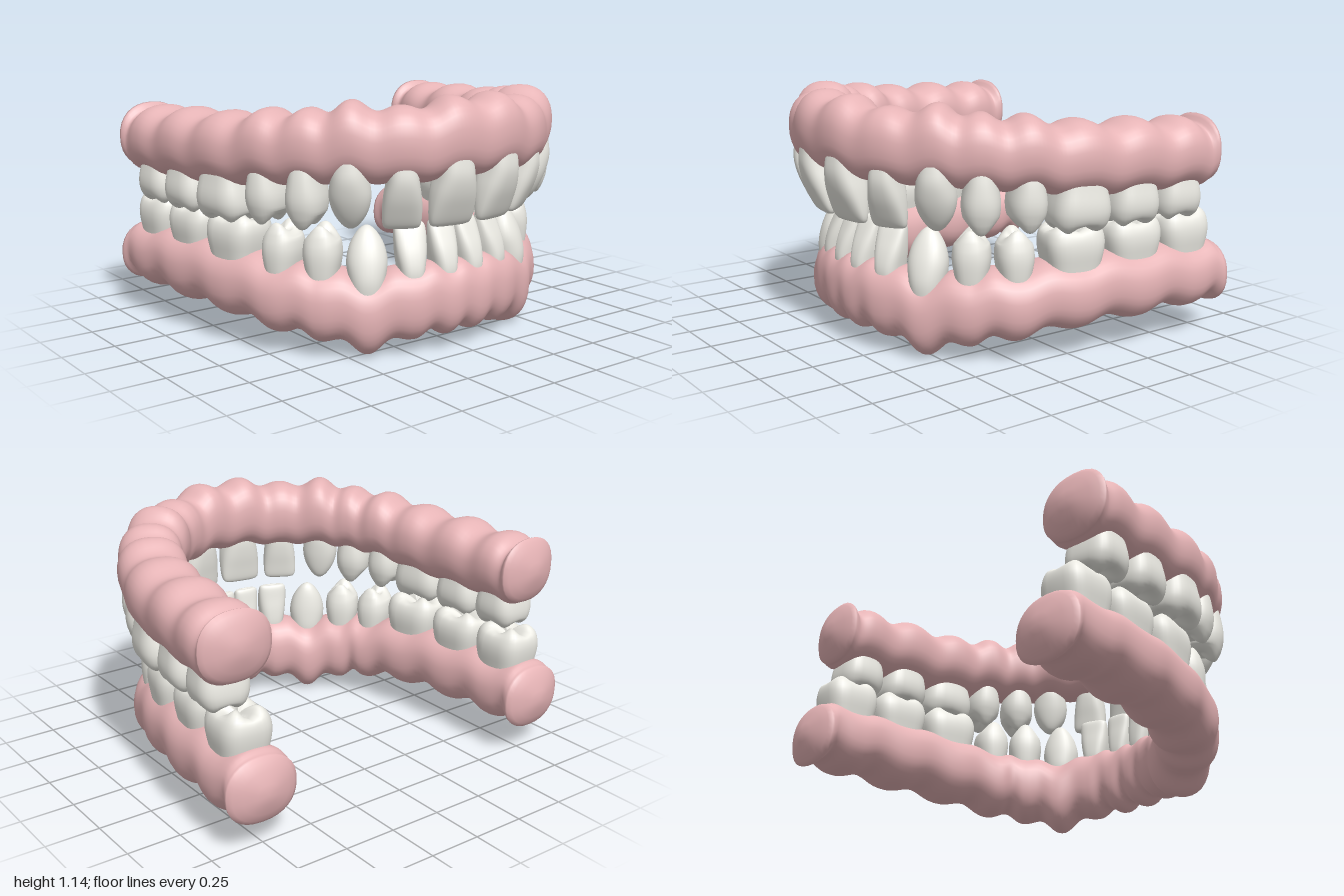
import * as THREE from 'three';
import { mergeVertices } from 'three/addons/utils/BufferGeometryUtils.js';

const gumMaterial = new THREE.MeshStandardMaterial({ color: 0xe6b4b6 });
const toothMaterial = new THREE.MeshStandardMaterial({ color: 0xecebe4 });

// Crown profiles from root to tip: [width, height, depth], as fractions
const PROFILES = {
  incisor: [[.7, 0, .9], [.8, .25, 1], [.94, .5, .88], [1, .75, .62], [.97, .93, .4], [.85, 1, .25], [0, 1, 0]],
  canine: [[.75, 0, .9], [.9, .25, 1], [1, .5, .9], [.85, .72, .7], [.45, .92, .4], [.15, .99, .15], [0, 1, 0]],
  premolar: [[.74, 0, .85], [.86, .25, .95], [1, .55, 1], [.95, .75, .93], [.76, .9, .75], [.5, .98, .55], [.3, .95, .3], [0, .88, 0]],
  molar: [[.82, 0, .85], [.88, .25, .92], [.98, .55, 1], [1, .75, .98], [.93, .92, .86], [.7, 1, .62], [.4, .96, .34], [0, .87, 0]],
};
const SQUARENESS = { incisor: 2.8, canine: 2.2, premolar: 2.4, molar: 3.2 };
const CUSPS = {
  premolar: (a) => .16 * (Math.sin(a) ** 2 - .5),
  molar: (a) => .2 * (Math.abs(Math.sin(2 * a)) - .5),
};

// Teeth from the middle to the back: type, gum centre x, z, width, depth,
// outward shift, tip y, gum edge y, gum far y, gum half width
const UPPER = [
  ['incisor', .118, .705, .21, .17, .045, .59, .81, 1.145, .14],
  ['incisor', .32, .635, .17, .16, .045, .59, .79, 1.11, .14],
  ['canine', .485, .505, .18, .19, .05, .585, .80, 1.132, .15],
  ['premolar', .605, .37, .17, .23, .03, .60, .78, 1.095, .15],
  ['premolar', .69, .2, .17, .23, .02, .60, .77, 1.085, .16],
  ['molar', .755, -.02, .27, .25, .02, .59, .735, 1.055, .17],
  ['molar', .79, -.29, .24, .25, .01, .59, .725, 1.045, .17],
  ['molar', .812, -.54, .225, .24, .005, .59, .72, 1.03, .17],
  ['rim', .82, -.68, 0, 0, 0, 0, .72, 1.03, .17],
];
const LOWER = [
  ['incisor', .07, .61, .13, .15, .01, .58, .39, .065, .125],
  ['incisor', .222, .575, .145, .15, .015, .58, .39, .06, .13],
  ['canine', .39, .485, .18, .18, .03, .58, .35, .003, .145],
  ['premolar', .535, .365, .17, .2, .01, .57, .39, .06, .15],
  ['premolar', .635, .215, .17, .21, .01, .57, .40, .085, .16],
  ['molar', .71, -.035, .28, .24, .01, .58, .43, .115, .165],
  ['molar', .755, -.335, .28, .24, 0, .58, .44, .125, .17],
  ['molar', .775, -.62, .27, .24, 0, .58, .43, .13, .17],
  ['rim', .78, -.795, 0, 0, 0, 0, .425, .13, .17],
];

// Closed skin over a list of equal rings of points
function loft(rings, flip) {
  const n = rings[0].length, index = [];
  for (let i = 0; i < rings.length - 1; i++) {
    for (let j = 0; j < n; j++) {
      const a = i * n + j, b = i * n + (j + 1) % n, c = a + n, d = b + n;
      if (flip) index.push(a, c, b, b, c, d);
      else index.push(a, b, c, b, d, c);
    }
  }
  let geometry = new THREE.BufferGeometry().setFromPoints(rings.flat());
  geometry.setIndex(index);
  geometry = mergeVertices(geometry, 1e-5);
  geometry.computeVertexNormals();
  return geometry;
}

// Rounded-square outline, half size 1
function outline(angle, power) {
  const f = (v) => Math.sign(v) * Math.abs(v) ** (2 / power);
  return [f(Math.cos(angle)), f(Math.sin(angle))];
}

// Position, forward direction and outward direction along an arch
function frame(curve, t) {
  const point = curve.getPoint(t);
  const along = curve.getPoint(Math.min(1, t + .002)).sub(curve.getPoint(Math.max(0, t - .002))).normalize();
  return { point, along, out: new THREE.Vector3(-along.z, 0, along.x) };
}

function makeTooth(key, { point, along, out }, side) {
  const [type, , , width, depth, shift, tip, edge] = key;
  const root = edge - side * .08, height = tip - root, count = 32;
  const profile = new THREE.CatmullRomCurve3(PROFILES[type].map((p) => new THREE.Vector3(...p)));
  const lean = type === 'incisor' || type === 'canine' ? .03 : 0;
  const rings = profile.getPoints(24).map((p) => {
    const ring = [];
    const w = Math.max(0, p.x), d = Math.max(0, p.z);
    for (let j = 0; j < count; j++) {
      const angle = j / count * Math.PI * 2;
      const [u, v] = outline(angle, SQUARENESS[type]);
      // Cusps rise on the chewing surface
      const cusp = CUSPS[type] && p.y > .8 ? CUSPS[type](angle) * Math.sin(Math.PI * Math.min(1, w)) : 0;
      const q = point.clone().addScaledVector(along, u * w * width / 2)
        .addScaledVector(out, v * d * depth / 2 + shift - lean * p.y * p.y);
      q.y = root + height * (p.y + cusp);
      ring.push(q);
    }
    return ring;
  });
  return loft(rings, side > 0);
}

function makeGum(keys, curve, side) {
  const last = keys.length - 1, steps = 14, count = 32, rings = [];

  const addRing = (u, scale, push) => {
    const i = Math.min(Math.floor(u), last - 1), f = u - i;
    const mix = (k) => THREE.MathUtils.lerp(keys[i][k], keys[i + 1][k], f * f * (3 - 2 * f));
    // The gum pinches in between neighbouring teeth
    const middle = i === 0 ? .3 : i === last - 1 ? .7 : .5;
    const g = f < middle ? f / middle / 2 : .5 + (f - middle) / (1 - middle) / 2;
    const dip = Math.sin(Math.PI * g) ** 2.5;
    const edge = mix(7) + side * .018 * dip, far = mix(8) + side * .036 * dip;
    const half = mix(9) * (1 - .06 * dip);
    const { point, along, out } = frame(curve, u / last);
    const ring = [];
    for (let j = 0; j < count; j++) {
      const [a, b] = outline(j / count * Math.PI * 2, 2.3);
      const q = point.clone().addScaledVector(out, a * half * scale).addScaledVector(along, push);
      q.y = (edge + far) / 2 + b * Math.abs(edge - far) / 2 * scale;
      ring.push(q);
    }
    rings.push(ring);
  };

  // Domed ends on both sides of the arch
  const cap = [[0, .055], [.3, .048], [.65, .032], [.88, .014]];
  cap.forEach(([scale, push]) => addRing(0, scale, -push));
  for (let k = 0; k <= last * steps; k++) addRing(k / steps, 1, 0);
  cap.reverse().forEach(([scale, push]) => addRing(last, scale, push));
  return loft(rings, true);
}

// side: -1 for the upper arch (teeth point down), +1 for the lower arch
function makeArch(half, side, name) {
  const arch = new THREE.Group();
  arch.name = name + 'Arch';
  const mirrored = half.map((k) => k.map((v, i) => (i === 1 ? -v : v))).reverse();
  const keys = [...mirrored, ...half];
  const curve = new THREE.CatmullRomCurve3(
    keys.map((k) => new THREE.Vector3(k[1], 0, k[2])), false, 'catmullrom', .5);

  const gum = new THREE.Mesh(makeGum(keys, curve, side), gumMaterial);
  gum.name = name + 'Gum';
  arch.add(gum);

  keys.forEach((key, i) => {
    if (key[0] === 'rim') return;
    const place = frame(curve, i / (keys.length - 1));
    const tooth = new THREE.Mesh(makeTooth(key, place, side), toothMaterial);
    const hand = key[1] > 0 ? 'Left' : 'Right';
    const number = i < half.length ? half.length - i : i - half.length + 1;
    tooth.name = `${name}${hand}Tooth${number}_${key[0]}`;
    arch.add(tooth);
  });
  return arch;
}

export function createModel() {
  const model = new THREE.Group();
  model.name = 'teethAndGums';
  model.add(makeArch(UPPER, -1, 'upper'), makeArch(LOWER, 1, 'lower'));
  return model;
}
